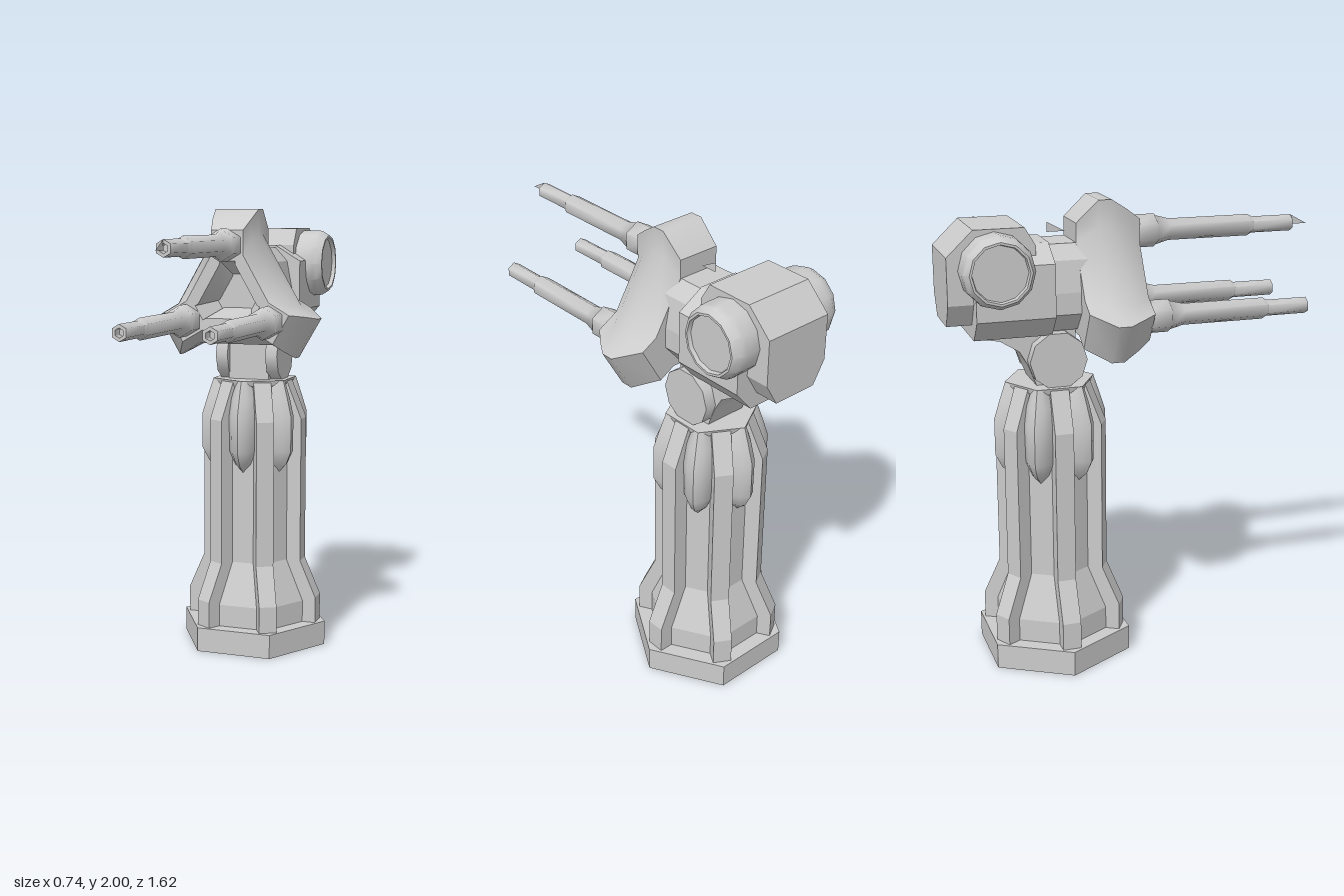
import * as THREE from 'three';
import { toCreasedNormals } from 'three/addons/utils/BufferGeometryUtils.js';
import { ConvexGeometry } from 'three/addons/geometries/ConvexGeometry.js';

const grey = new THREE.MeshStandardMaterial({ color: 0xcccccc });
const thin = new THREE.MeshStandardMaterial({ color: 0xcccccc, side: THREE.DoubleSide });
const V2 = (x, y) => new THREE.Vector2(x, y);
const V3 = (x, y, z) => new THREE.Vector3(x, y, z);
const TOWER_Z = -0.36;

function add(parent, name, geometry, material = grey) {
  const mesh = new THREE.Mesh(geometry, material);
  mesh.name = name;
  parent.add(mesh);
  return mesh;
}

// Turned part; crease is the angle below which edges are smoothed
function lathe(points, sides, crease) {
  return toCreasedNormals(new THREE.LatheGeometry(points.map(p => V2(...p)), sides), crease);
}

// Skin closed rings of equal length, with a fan at each end
function loft(rings, crease) {
  const n = rings[0].length, pos = [], index = [];
  rings.forEach(ring => ring.forEach(p => pos.push(p.x, p.y, p.z)));
  for (let k = 0; k < rings.length - 1; k++) {
    for (let i = 0; i < n; i++) {
      const a = k * n + i, b = k * n + (i + 1) % n;
      index.push(a, b, b + n, a, b + n, a + n);
    }
  }
  [0, rings.length - 1].forEach((k, top) => {
    const c = rings[k].reduce((s, p) => s.add(p), V3(0, 0, 0)).divideScalar(n);
    const centre = pos.length / 3;
    pos.push(c.x, c.y, c.z);
    for (let i = 0; i < n; i++) {
      const a = k * n + i, b = k * n + (i + 1) % n;
      if (top) index.push(centre, a, b); else index.push(centre, b, a);
    }
  });
  const geo = new THREE.BufferGeometry();
  geo.setAttribute('position', new THREE.Float32BufferAttribute(pos, 3));
  geo.setIndex(index);
  return toCreasedNormals(geo, crease);
}

// Flat outline with thickness, centred on its own plane
function plate(points, depth) {
  return new THREE.ExtrudeGeometry(new THREE.Shape(points.map(p => V2(...p))), { depth, bevelEnabled: false })
    .translate(0, 0, -depth / 2);
}

// Convex block from points mirrored left and right
function hull(points) {
  return new ConvexGeometry(points.flatMap(([x, y, z]) => [V3(x, y, z), V3(-x, y, z)]));
}

function createTower() {
  const tower = new THREE.Group();
  tower.name = 'tower';
  tower.position.z = TOWER_Z;
  add(tower, 'base', lathe([[0, 0], [0.345, 0], [0.345, 0.11], [0, 0.11]], 6, 0.1).rotateY(Math.PI / 6));
  add(tower, 'column', lathe([[0.272, 0.1], [0.272, 0.21], [0.193, 0.4], [0.193, 1.06], [0.165, 1.22], [0, 1.22]], 6, 0.1)
    .rotateY(Math.PI / 6));
  add(tower, 'columnCap', lathe([[0.15, 1.19], [0.188, 1.215], [0.195, 1.24], [0, 1.24]], 6, 0.1));

  const ribOutline = [[0.1, 0.11], [0.31, 0.11], [0.31, 0.23], [0.235, 0.4], [0.235, 1.06], [0.165, 1.235], [0.1, 1.235]];
  // height, reach, half width of the leaf-shaped pods
  const podLevels = [[0.82, 0.168, 0.004], [0.86, 0.215, 0.04], [0.92, 0.245, 0.066], [1.08, 0.245, 0.07],
    [1.16, 0.22, 0.06], [1.24, 0.193, 0.035]];
  const podRings = podLevels.map(([y, r, w]) =>
    [[-1, 0], [-0.9, 0.4], [-0.5, 0.8], [0, 1], [0.5, 0.8], [0.9, 0.4], [1, 0]]
      .map(([x, t]) => V3(w * x, y, 0.14 + (r - 0.14) * t)));
  for (let i = 0; i < 6; i++) {
    add(tower, 'rib', plate(ribOutline, 0.08)).rotation.y = i * Math.PI / 3;
    add(tower, 'pod', loft(podRings, 0.8)).rotation.y = i * Math.PI / 3;
  }
  return tower;
}

function createHousing() {
  const housing = new THREE.Group();
  housing.name = 'housing';

  // Pivot and its curved bracket
  for (const s of [-1, 1]) {
    add(housing, 'pivotDisc', new THREE.CylinderGeometry(0.123, 0.123, 0.055, 10).rotateZ(Math.PI / 2))
      .position.set(s * 0.1175, 1.35, -0.355);
  }
  const bracket = plate([[-0.27, 1.24], [-0.27, 1.48], [-0.7, 1.48], [-0.69, 1.46], [-0.59, 1.44], [-0.51, 1.39],
    [-0.475, 1.33], [-0.44, 1.24]], 0.19);
  add(housing, 'pivotBracket', bracket.rotateY(-Math.PI / 2));

  // Faceted neck and body
  const prism = (outline, z0, z1) => hull(outline.flatMap(([x, y]) => [[x, y, z0], [x, y, z1]]));
  add(housing, 'neck', prism([[0.1, 1.47], [0.17, 1.55], [0.17, 1.64], [0.145, 1.77], [0.09, 1.83]], -0.2, -0.4));
  add(housing, 'body', prism([[0.13, 1.46], [0.205, 1.55], [0.205, 1.77], [0.09, 1.84]], -0.378, -0.705));

  // Rear block with bevelled underside
  const side = [[1.915, -0.49], [1.915, -0.7], [1.81, -0.81], [1.615, -0.81], [1.615, -0.445], [1.84, -0.445]];
  add(housing, 'rearBlock', hull([...side.map(([y, z]) => [0.155, y, z]), [0.1, 1.52, -0.81], [0.1, 1.52, -0.46]]));

  // Side drums
  for (const s of [-1, 1]) {
    const drum = lathe([[0.15, 0], [0.15, 0.07], [0.147, 0.095], [0.128, 0.125], [0.118, 0.125], [0.114, 0.108], [0, 0.108]], 12, 0.6);
    add(housing, 'sideDrum', drum.rotateZ(-s * Math.PI / 2)).position.set(s * 0.15, 1.755, -0.615);
  }
  return housing;
}

function createGunHead() {
  const head = new THREE.Group();
  head.name = 'gunHead';
  head.position.y = 1.63;

  // Three-armed mount: depth, arm end, arm half width, arm root; last levels sink into the middle
  const levels = [[-0.262, 0.28, 0.095, 0.2], [-0.165, 0.37, 0.1, 0.262], [-0.11, 0.37, 0.1, 0.262],
    [-0.04, 0.325, 0.088, 0.235], [0.02, 0.28, 0.072, 0.175], [0.018, 0.15, 0.035, 0.135], [-0.11, 0.09, 0.02, 0.08]];
  const rings = levels.map(([z, end, w, root]) => [0, 1, 2].flatMap(i =>
    [[w, root], [w, end], [-w, end], [-w, root]].map(([x, y]) =>
      V3(x, y, z).applyAxisAngle(V3(0, 0, 1), i * Math.PI * 2 / 3))));
  add(head, 'barrelMount', loft(rings, 0.75));

  // Barrels with hexagonal collars and stepped muzzles
  const barrelProfile = [[0.07, 0], [0.07, 0.105], [0.062, 0.11], [0.046, 0.17], [0.046, 0.53], [0.035, 0.548],
    [0.035, 0.73], [0.02, 0.73], [0.018, 0.69], [0, 0.69]];
  for (let i = 0; i < 3; i++) {
    const a = Math.PI / 2 + i * Math.PI * 2 / 3;
    const barrel = lathe(barrelProfile, 6, 1.1).rotateX(Math.PI / 2);
    add(head, 'barrel', barrel).position.set(0.217 * Math.cos(a), 0.217 * Math.sin(a), 0);
  }

  // Thin triangular sights
  for (const [name, y, z] of [['frontSight', 0.21, 0.73], ['rearSight', 0.234, -0.36]]) {
    const sight = new THREE.ShapeGeometry(new THREE.Shape([V2(0, 0), V2(0.077, 0), V2(0, 0.042)]));
    add(head, name, sight.rotateY(-Math.PI / 2), thin).position.set(0, y, z);
  }
  return head;
}

export function createModel() {
  const model = new THREE.Group();
  model.name = 'turret';
  model.add(createTower(), createHousing(), createGunHead());
  return model;
}
